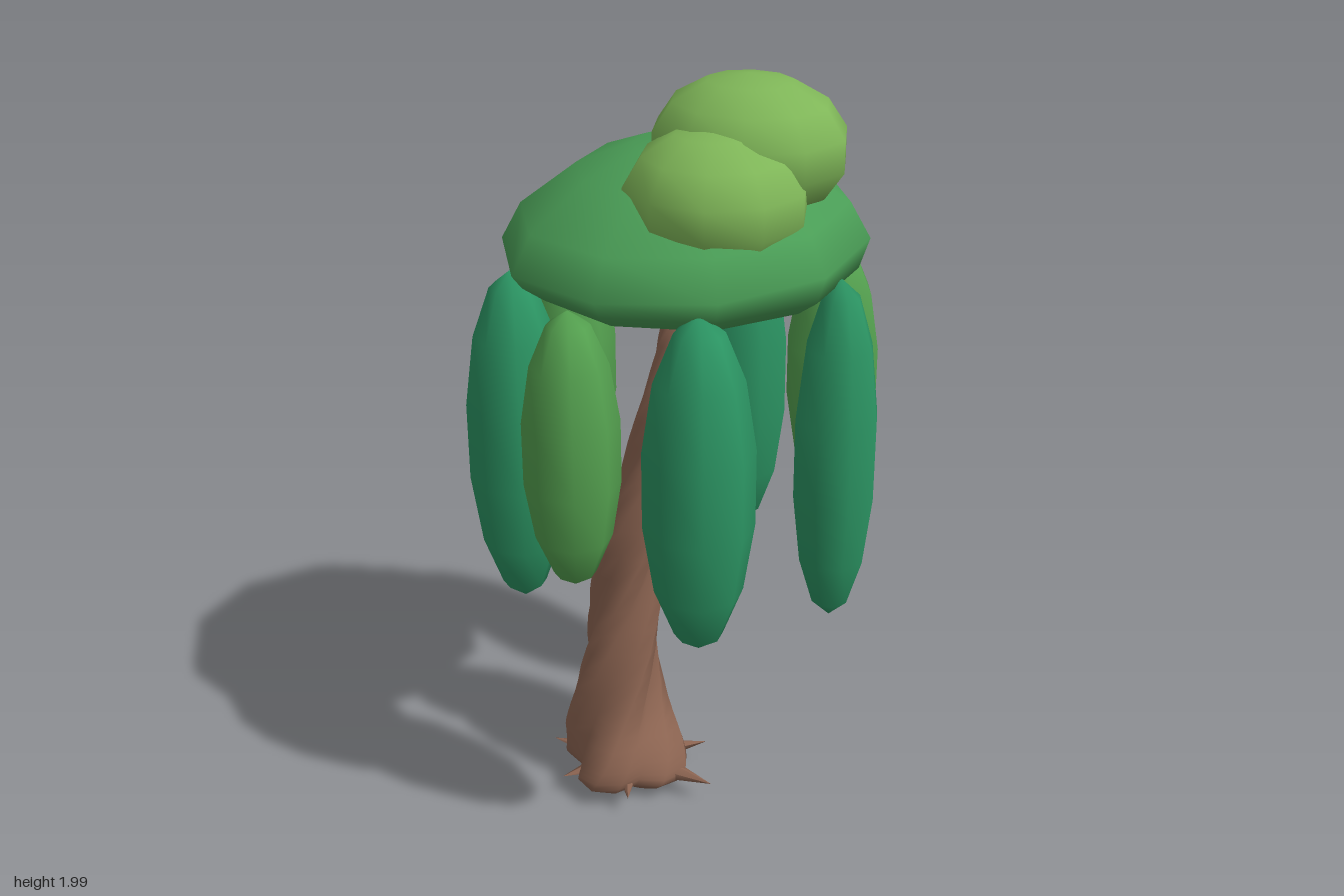
import * as THREE from 'three';

const paint = (color) => new THREE.MeshStandardMaterial({ color });
const BARK = paint(0x8d6552);
const CANOPY = paint(0x4a9d56);
const TOP_LEAF = paint(0x7fb658);
const DARK_LEAF = paint(0x2c9664);
const LIGHT_LEAF = paint(0x55a250);

function addMesh(group, name, geometry, material) {
  const mesh = new THREE.Mesh(geometry, material);
  mesh.name = name;
  group.add(mesh);
  return mesh;
}

// Four-lobed cross-section swept up a leaning path while it twists
function trunkGeometry() {
  // y, centre x, centre z, radius
  const stations = [
    [0.01, -0.14, 0.09, 0.09], [0.06, -0.14, 0.09, 0.18], [0.12, -0.145, 0.09, 0.175],
    [0.24, -0.165, 0.08, 0.135], [0.5, -0.155, 0.07, 0.105], [0.8, -0.115, 0.055, 0.09],
    [1.1, -0.05, 0.03, 0.072], [1.38, -0.005, 0.0, 0.058],
  ];
  const path = new THREE.CatmullRomCurve3(stations.map(([y, x, z]) => new THREE.Vector3(x, y, z)));
  const radii = new THREE.CatmullRomCurve3(stations.map(([y, , , r]) => new THREE.Vector3(r, y, 0)));
  const rings = 28, sides = 16, positions = [], index = [];
  for (let i = 0; i <= rings; i++) {
    const c = path.getPoint(i / rings);
    const radius = radii.getPoint(i / rings).x;
    for (let j = 0; j < sides; j++) {
      const u = (j / sides) * Math.PI * 2;
      const a = u + 3.6 * (c.y - 0.08);
      const r = radius * (0.7 + 0.3 * Math.abs(Math.cos(2 * u)));
      positions.push(c.x + r * Math.sin(a), c.y, c.z + r * Math.cos(a));
    }
  }
  const foot = positions.length / 3, head = foot + 1;
  positions.push(-0.14, 0.02, 0.09, -0.005, 1.38, 0);
  for (let j = 0; j < sides; j++) {
    const k = (j + 1) % sides;
    for (let i = 0; i < rings; i++) {
      const p = i * sides, q = p + sides;
      index.push(p + j, p + k, q + k, p + j, q + k, q + j);
    }
    index.push(k, j, foot, rings * sides + j, rings * sides + k, head);
  }
  const geometry = new THREE.BufferGeometry();
  geometry.setAttribute('position', new THREE.Float32BufferAttribute(positions, 3));
  geometry.setIndex(index);
  geometry.computeVertexNormals();
  return geometry;
}

// Flattened dome, rising a little towards +x and -z
function canopyGeometry() {
  const profile = [[0, 1.44], [0.2, 1.447], [0.37, 1.49], [0.425, 1.53], [0.45, 1.585],
    [0.4, 1.675], [0.26, 1.775], [0.12, 1.825], [0, 1.835]];
  const geometry = new THREE.LatheGeometry(profile.map(([r, y]) => new THREE.Vector2(r, y)), 10);
  const p = geometry.attributes.position;
  for (let i = 0; i < p.count; i++) {
    if (p.getY(i) > 1.55) p.setY(i, p.getY(i) + 0.04 * p.getX(i) - 0.03 * p.getZ(i));
  }
  return geometry;
}

export function createModel() {
  const tree = new THREE.Group();
  tree.name = 'tree';

  addMesh(tree, 'trunk', trunkGeometry(), BARK);

  // Spiky roots around the foot: heading angle, tip distance
  const roots = new THREE.Group();
  roots.name = 'roots';
  tree.add(roots);
  const spikes = [[0.5, 0.2], [1.5, 0.27], [2.3, 0.23], [3.0, 0.22], [3.9, 0.2], [4.8, 0.22], [5.7, 0.2]];
  for (const [angle, reach] of spikes) {
    const cone = new THREE.ConeGeometry(0.04, 0.16, 6);
    cone.rotateX(Math.PI / 2).translate(0, 0, reach - 0.08);
    const root = addMesh(roots, 'root', cone, BARK);
    root.position.set(-0.14, 0.07, 0.09);
    root.rotation.y = angle;
    root.scale.y = 0.75;
  }

  const canopy = addMesh(tree, 'canopy', canopyGeometry(), CANOPY);
  canopy.position.z = 0.015;

  // Two overlapping tufts on top: centre, radii
  const tufts = [
    [[0.16, 1.83, -0.01], [0.245, 0.17, 0.215]],
    [[0.14, 1.735, 0.13], [0.225, 0.175, 0.22]],
  ];
  for (const [centre, radii] of tufts) {
    const tuft = addMesh(tree, 'topTuft', new THREE.SphereGeometry(1, 10, 7), TOP_LEAF);
    tuft.position.set(...centre);
    tuft.scale.set(...radii);
  }

  // Hanging leaf pods: x, z, top, bottom, radius, material
  const pods = [
    [-0.355, 0.235, 1.52, 0.61, 0.13, DARK_LEAF],
    [-0.1, 0.41, 1.52, 0.8, 0.12, LIGHT_LEAF],
    [0.215, 0.37, 1.55, 0.68, 0.137, DARK_LEAF],
    [0.415, 0.02, 1.55, 0.64, 0.108, DARK_LEAF],
    [0.27, -0.31, 1.52, 0.8, 0.125, LIGHT_LEAF],
    [-0.03, -0.405, 1.54, 0.6, 0.13, DARK_LEAF],
    [-0.405, -0.12, 1.51, 0.76, 0.125, LIGHT_LEAF],
  ];
  for (const [x, z, top, bottom, radius, material] of pods) {
    const pod = addMesh(tree, 'hangingPod', new THREE.SphereGeometry(1, 8, 7), material);
    pod.position.set(x, (top + bottom) / 2, z);
    pod.scale.set(radius, (top - bottom) / 2, radius);
    pod.rotation.y = Math.atan2(x, z);
  }

  return tree;
}
